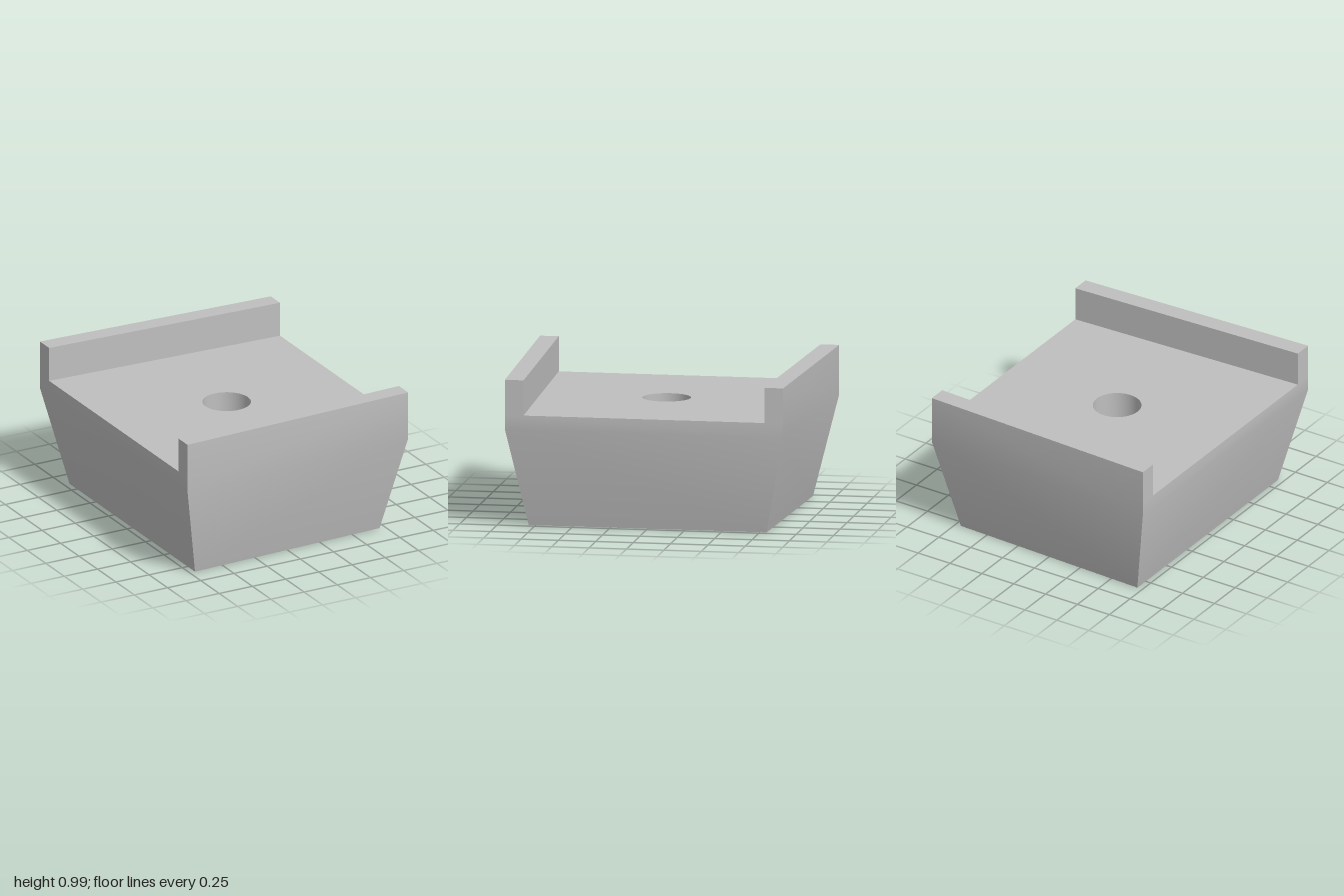
import * as THREE from 'three';
import { mergeVertices, toCreasedNormals } from 'three/addons/utils/BufferGeometryUtils.js';

const BREAK = 0.66, FLOOR = 0.755, RIM = 0.99, LEDGE = 0.48;
const BOLT_R = 0.16, BORE_R = 0.3, LIP = 0.125;

// Corner of the tapered block at height y; inset pulls it in along z
function corner(sx, sz, y, inset = 0) {
  const t = Math.min(y / BREAK, 1);
  const halfZ = sx < 0 ? 0.85 + 0.15 * t : 0.795 + 0.135 * t;
  return new THREE.Vector3(sx * (0.71 + 0.14 * t), y, sz * (halfZ - inset));
}

// Add two triangles turned to face the outward direction
function quad(out, a, b, c, d, dir) {
  const n = b.clone().sub(a).cross(c.clone().sub(a));
  const p = n.dot(dir) > 0 ? [a, b, c, a, c, d] : [a, c, b, a, d, c];
  p.forEach(v => out.push(v.x, v.y, v.z));
}

function toGeometry(out) {
  const g = new THREE.BufferGeometry();
  g.setAttribute('position', new THREE.Float32BufferAttribute(out, 3));
  return toCreasedNormals(g, 0.5);
}

// Horizontal four-sided plate with a round hole
function plate(y, inset, radius, up) {
  const pts = [[-1, -1], [1, -1], [1, 1], [-1, 1]].map(([sx, sz]) => {
    const v = corner(sx, sz, y, inset);
    return new THREE.Vector2(v.x, v.z);
  });
  const shape = new THREE.Shape(pts);
  shape.holes.push(new THREE.Path().absarc(0, 0, radius, 0, Math.PI * 2, true));
  const g = new THREE.ShapeGeometry(shape, 32);
  g.rotateX(up ? -Math.PI / 2 : Math.PI / 2);
  g.translate(0, y, 0);
  return g;
}

export function createModel() {
  const group = new THREE.Group();
  const grey = new THREE.MeshStandardMaterial({ color: 0xbfbfbf });
  grey.name = 'grey';
  const add = (name, geometry) => {
    const m = new THREE.Mesh(geometry, grey);
    m.name = name;
    group.add(m);
  };
  const up = new THREE.Vector3(0, 1, 0);

  // Front and back walls with their raised lips
  for (const s of [1, -1]) {
    const out = [], dir = new THREE.Vector3(0, 0, s);
    for (const [y0, y1] of [[0, BREAK], [BREAK, RIM]]) {
      quad(out, corner(-1, s, y0), corner(1, s, y0), corner(1, s, y1), corner(-1, s, y1), dir);
    }
    quad(out, corner(-1, s, FLOOR, LIP), corner(1, s, FLOOR, LIP),
      corner(1, s, RIM, LIP), corner(-1, s, RIM, LIP), dir.clone().negate());
    quad(out, corner(-1, s, RIM), corner(1, s, RIM),
      corner(1, s, RIM, LIP), corner(-1, s, RIM, LIP), up);
    add(s > 0 ? 'frontWall' : 'backWall', toGeometry(out));
  }

  // End walls, with the lip ends standing above the floor
  for (const s of [1, -1]) {
    const out = [], dir = new THREE.Vector3(s, 0, 0);
    for (const [y0, y1] of [[0, BREAK], [BREAK, FLOOR]]) {
      quad(out, corner(s, -1, y0), corner(s, 1, y0), corner(s, 1, y1), corner(s, -1, y1), dir);
    }
    for (const sz of [1, -1]) {
      quad(out, corner(s, sz, FLOOR), corner(s, sz, FLOOR, LIP),
        corner(s, sz, RIM, LIP), corner(s, sz, RIM), dir);
    }
    add(s > 0 ? 'leftEnd' : 'rightEnd', toGeometry(out));
  }

  add('channelFloor', plate(FLOOR, LIP, BOLT_R, true));
  add('underside', plate(0, 0, BORE_R, false));

  // Stepped hole: narrow above, wide below
  const profile = [[BOLT_R, FLOOR], [BOLT_R, LEDGE], [BORE_R, LEDGE], [BORE_R, 0]]
    .map(([r, y]) => new THREE.Vector2(r, y));
  const bore = new THREE.LatheGeometry(profile, 64);
  bore.deleteAttribute('uv');
  bore.deleteAttribute('normal');
  add('steppedBore', toCreasedNormals(mergeVertices(bore), 0.5));

  return group;
}
